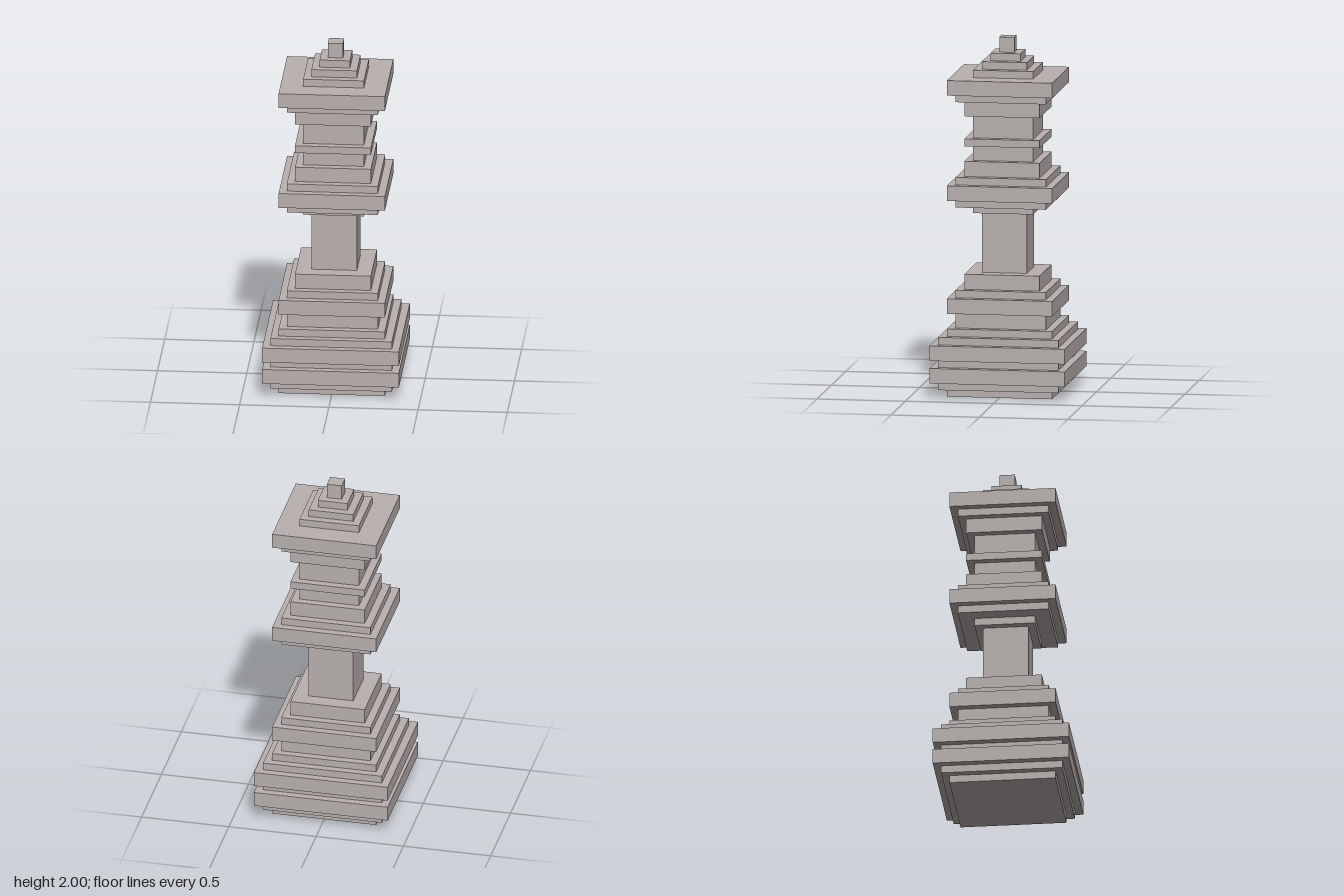
import * as THREE from 'three';

const U = 2 / 47; // size of one block unit

// Each part is a stack of square slabs, bottom to top: [half width, height] in block units
const PARTS = {
  base: [[7, 1], [8, 1], [9, 2], [8, 1], [9, 2], [8, 1], [7, 1]],
  pedestal: [[6, 2], [7, 2], [6, 1], [5, 2]],
  shaft: [[3, 8]],
  collar: [[4, 1], [6, 1], [7, 2], [6, 1], [5, 2]],
  neck: [[4, 2], [5, 1], [4, 3]],
  crown: [[5, 2], [6, 1], [7, 2]],
  steppedRoof: [[4, 1], [3, 1], [2, 1]],
  finial: [[1, 2]],
};

export function createModel() {
  const model = new THREE.Group();
  model.name = 'steppedChessPiece';
  const stone = new THREE.MeshStandardMaterial({ color: 0xb9b1b0 });
  stone.name = 'warm grey stone';

  let y = 0;
  for (const [name, slabs] of Object.entries(PARTS)) {
    const part = new THREE.Group();
    part.name = name;
    slabs.forEach(([half, height], i) => {
      const slab = new THREE.Mesh(new THREE.BoxGeometry(2 * half * U, height * U, 2 * half * U), stone);
      slab.name = `${name}Slab${i + 1}`;
      slab.position.y = (y + height / 2) * U;
      part.add(slab);
      y += height;
    });
    model.add(part);
  }
  return model;
}
